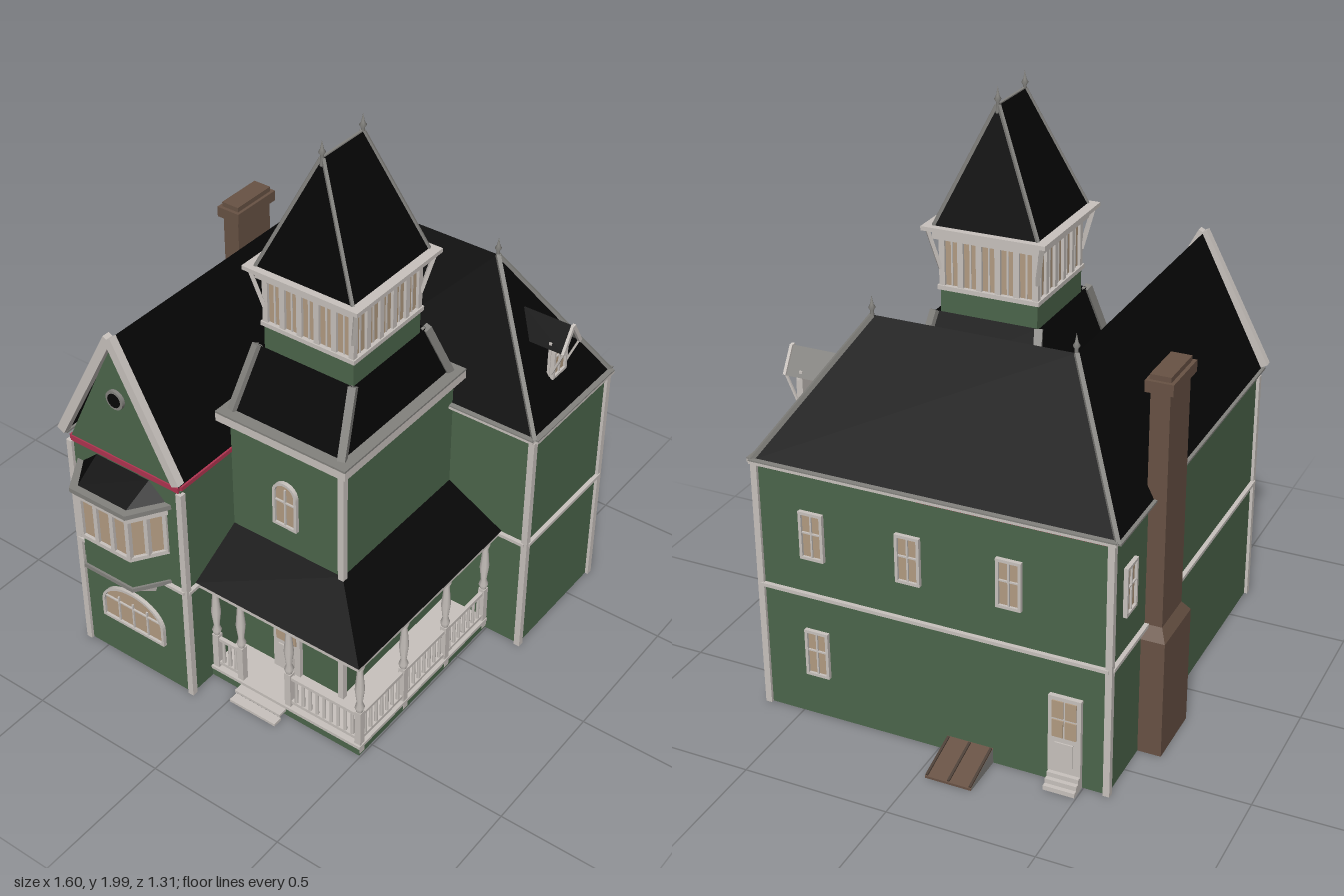
import * as THREE from 'three';

const mat = (name, color) => new THREE.MeshStandardMaterial({ name, color, side: THREE.DoubleSide });

export function createModel() {
  const root = new THREE.Group();
  root.name = 'house';
  const green = mat('green siding', 0x4c664b), black = mat('black roofing', 0x050505),
    white = mat('pale trim', 0xc8c2bd), grey = mat('grey trim', 0x83827e),
    pane = mat('tan glass', 0xb39c82), pink = mat('pink interior', 0xb03450),
    brick = mat('brown brick', 0x685244), floor = mat('dark floor', 0x4c3f36);

  // ---- helpers ----
  const add = (name, geo, m, parent = root) => {
    const mesh = new THREE.Mesh(geo, m);
    mesh.name = name;
    parent.add(mesh);
    return mesh;
  };
  const box = (name, m, x0, x1, y0, y1, z0, z1, parent = root) =>
    add(name, new THREE.BoxGeometry(x1 - x0, y1 - y0, z1 - z0)
      .translate((x0 + x1) / 2, (y0 + y1) / 2, (z0 + z1) / 2), m, parent);
  // flat convex polygons, each a list of [x, y, z] corners
  const faces = (name, m, polys) => {
    const p = [];
    for (const q of polys) for (let i = 1; i < q.length - 1; i++) p.push(...q[0], ...q[i], ...q[i + 1]);
    const g = new THREE.BufferGeometry();
    g.setAttribute('position', new THREE.Float32BufferAttribute(p, 3));
    g.computeVertexNormals();
    return add(name, g, m);
  };
  // upright walls along a plan line of [x, z]
  const walls = (name, m, line, y0, y1) => faces(name, m, line.slice(1).map(([x, z], i) => {
    const [a, b] = line[i];
    return [[a, y0, b], [x, y0, z], [x, y1, z], [a, y1, b]];
  }));
  const prism = (name, m, plan, y0, y1) => {
    const s = new THREE.Shape(plan.map(([x, z]) => new THREE.Vector2(x, -z)));
    return add(name, new THREE.ExtrudeGeometry(s, { depth: y1 - y0, bevelEnabled: false })
      .rotateX(-Math.PI / 2).translate(0, y0, 0), m);
  };
  const bar = (name, m, a, b, w = 0.016, h = w) => {
    const A = new THREE.Vector3(...a), B = new THREE.Vector3(...b);
    const mesh = add(name, new THREE.BoxGeometry(w, h, A.distanceTo(B)), m);
    mesh.position.copy(A).lerp(B, 0.5);
    mesh.lookAt(B);
    return mesh;
  };
  const corners = ([x0, x1, z0, z1], y) => [[x0, y, z1], [x1, y, z1], [x1, y, z0], [x0, y, z0]];
  // four sloping sides between two rectangles, with optional hip trim
  const hip = (name, m, r0, y0, r1, y1, trim) => {
    const a = corners(r0, y0), b = corners(r1, y1);
    faces(name, m, [0, 1, 2, 3].map(i => [a[i], a[(i + 1) % 4], b[(i + 1) % 4], b[i]]));
    if (trim) a.forEach((p, i) => bar('hipTrim', grey, p, b[i], trim));
  };
  const lathe = (name, m, pts, x, y, z) =>
    add(name, new THREE.LatheGeometry(pts.map(p => new THREE.Vector2(...p)), 8), m).position.set(x, y, z);
  const finial = (x, y, z) => lathe('finial', grey,
    [[0.008, -0.02], [0.006, 0.015], [0.012, 0.025], [0.006, 0.035], [0, 0.065]], x, y, z);
  // window facing +z, its sill centre at the given point, turned by angle; rise is the arch height
  const windowAt = (x, y, z, turn, w, h, rise = 0, lights = 2) => {
    const g = new THREE.Group();
    g.name = 'window';
    const outline = (e, cls) => {
      const s = new cls(), r = w / 2 + e, top = rise ? h - rise : h + e;
      s.moveTo(-r, -e).lineTo(r, -e).lineTo(r, top);
      if (rise) s.absellipse(0, top, r, rise + e, 0, Math.PI, false); else s.lineTo(-r, top);
      s.lineTo(-r, -e);
      return s;
    };
    const frame = outline(0.01, THREE.Shape);
    frame.holes.push(outline(0, THREE.Path));
    add('frame', new THREE.ExtrudeGeometry(frame, { depth: 0.014, bevelEnabled: false }), white, g);
    add('pane', new THREE.ShapeGeometry(outline(0, THREE.Shape)).translate(0, 0, 0.005), pane, g);
    for (let i = 1; i < lights; i++) {
      const c = -w / 2 + w * i / lights;
      box('mullion', white, c - 0.003, c + 0.003, 0, h - rise / 2, 0.005, 0.011, g);
    }
    box('crossbar', white, -w / 2, w / 2, h * 0.55, h * 0.55 + 0.005, 0.005, 0.011, g);
    g.position.set(x, y, z);
    g.rotation.y = turn;
    root.add(g);
  };
  const E = Math.PI / 2, W = -E;

  // ---- house body ----
  walls('mainWalls', green, [[0.18, -0.12], [0.18, 0.63], [0.64, 0.63], [0.64, -0.58], [-0.67, -0.58], [-0.67, -0.12], [0.18, -0.12]], 0.01, 0.89);
  walls('towerWalls', green, [[-0.42, -0.12], [-0.42, 0.32], [0.18, 0.32], [0.18, -0.12]], 0.01, 1.02);
  for (const [x0, z0, z1, top] of [[-0.66, -0.57, -0.125, 0.885], [-0.41, -0.1, 0.31, 0.905]]) {
    box('interiorWalls', pink, x0, 0.186, 0.02, top, z0, z1);
    box('floor', floor, x0 + 0.008, 0.178, 0.014, 0.022, z0 + 0.006, z1 - 0.006);
  }
  // exposed wall heads under the eaves
  box('wallHead', pink, -0.67, 0.16, 0.876, 0.898, -0.584, -0.57);
  box('wallHead', pink, -0.675, -0.665, 0.88, 0.9, -0.575, -0.125);
  box('wallHead', pink, -0.665, -0.42, 0.888, 0.903, -0.13, -0.117);
  box('wallHead', pink, 0.178, 0.186, 0.88, 0.905, -0.32, -0.15);
  // corner boards
  for (const [x, z, y1] of [[0.64, 0.63, 0.9], [0.18, 0.63, 0.9], [0.64, -0.58, 0.9], [-0.67, -0.58, 0.88], [-0.67, -0.12, 0.88], [-0.42, 0.32, 1.02]])
    box('cornerBoard', white, x - 0.011, x + 0.011, 0.01, y1, z - 0.011, z + 0.011);
  // belt course between storeys
  const belt = [[0.18, 0.33], [0.18, 0.63], [0.64, 0.63], [0.64, -0.58], [-0.67, -0.58], [-0.67, -0.12], [-0.42, -0.12]];
  belt.slice(1).forEach(([x, z], i) => bar('beltCourse', white, [belt[i][0], 0.467, belt[i][1]], [x, 0.467, z], 0.03, 0.012));

  // ---- main roof ----
  const e = 0.91, t = 1.37, front = [0.41, t, 0.32], back = [0.41, t, -0.36], gable = [-0.68, t, -0.36];
  const fl = [0.17, e, 0.64], fr = [0.65, e, 0.64], br = [0.65, e, -0.6], bl = [-0.68, e, -0.594],
    gl = [-0.68, e, -0.118], valley = [0.17, e, -0.118];
  faces('mainRoof', black, [[fl, fr, front], [fr, br, back, front], [br, bl, gable, back],
    [gl, valley, back, gable], [valley, fl, front, back]]);
  for (const [a, b] of [[fl, front], [fr, front], [br, back]]) bar('hipTrim', grey, a, b, 0.014);
  // eave boards, with darker gutters on top
  for (const [a, b] of [[valley, fl], [fl, fr], [fr, br]]) {
    bar('eaveBoard', white, a, b, 0.026, 0.01);
    bar('gutter', grey, [a[0], e + 0.007, a[2]], [b[0], e + 0.007, b[2]], 0.026, 0.005);
  }
  bar('backGutter', grey, br, bl, 0.02, 0.007);
  finial(0.41, 1.37, 0.32);
  finial(0.41, 1.37, -0.36);
  // left gable end
  faces('gableWall', green, [[[-0.67, 0.89, -0.58], [-0.67, 0.89, -0.13], [-0.67, 1.35, -0.36]]]);
  for (const z of [-0.6, -0.12]) bar('bargeboard', white, [-0.678, 0.92, z], [-0.678, 1.375, -0.36], 0.028, 0.032);
  add('gableVent', new THREE.CylinderGeometry(0.035, 0.035, 0.014, 16).rotateZ(E), grey).position.set(-0.675, 1.14, -0.36);
  add('gableVentLouvre', new THREE.CylinderGeometry(0.025, 0.025, 0.018, 16).rotateZ(E), black).position.set(-0.676, 1.14, -0.36);

  // ---- front dormer ----
  box('dormerFace', white, 0.365, 0.455, 1.0, 1.15, 0.555, 0.565);
  windowAt(0.41, 1.02, 0.565, 0, 0.064, 0.125, 0.032);
  const ridge = z => [0.41, 1.215, z];
  for (const s of [-1, 1]) {
    const eave = z => [0.41 + s * 0.052, 1.13, z];
    faces('dormerRoof', s < 0 ? black : grey, [[eave(0.615), eave(0.43), ridge(0.43), ridge(0.615)]]);
    bar('dormerBargeboard', white, eave(0.613), ridge(0.613), 0.01, 0.014);
    bar('dormerBracket', white, [0.41 + s * 0.043, 1.03, 0.57], [0.41 + s * 0.046, 1.13, 0.612], 0.007);
  }
  faces('dormerGable', white, [[[0.365, 1.14, 0.566], [0.455, 1.14, 0.566], [0.41, 1.21, 0.566]]]);

  // ---- tower ----
  box('towerCornice', white, -0.45, 0.205, 1.015, 1.045, -0.155, 0.35);
  box('towerGutter', grey, -0.45, 0.205, 1.045, 1.052, -0.155, 0.35);
  hip('towerSkirtRoof', black, [-0.41, 0.165, -0.115, 0.31], 1.05, [-0.315, 0.07, -0.085, 0.28], 1.26, 0.026);
  box('belvedereBase', green, -0.297, 0.053, 1.24, 1.335, -0.072, 0.268);
  box('belvedereGlass', pane, -0.29, 0.046, 1.335, 1.51, -0.065, 0.261);
  box('belvedereSill', white, -0.305, 0.061, 1.33, 1.345, -0.08, 0.276);
  box('belvedereHead', white, -0.315, 0.071, 1.505, 1.54, -0.09, 0.286);
  box('belvedereCornice', white, -0.342, 0.098, 1.538, 1.552, -0.117, 0.313);
  const post = (x, z, r) => box('belvedereMullion', white, x - r, x + r, 1.34, 1.515, z - r, z + r);
  for (let i = 0; i <= 10; i++) for (const z of [-0.065, 0.261]) post(-0.29 + 0.0336 * i, z, i % 2 ? 0.003 : 0.01);
  for (let i = 1; i < 10; i++) for (const x of [-0.29, 0.046]) post(x, -0.065 + 0.0326 * i, i % 2 ? 0.003 : 0.01);
  for (const [x, s] of [[-0.29, -1], [0.046, 1]]) for (const [z, u] of [[-0.065, -1], [0.261, 1]])
    bar('cornerBracket', white, [x + s * 0.006, 1.4, z + u * 0.006], [x + s * 0.036, 1.54, z + u * 0.036], 0.012);
  hip('towerRoof', black, [-0.318, 0.074, -0.083, 0.279], 1.552, [-0.222, -0.024, 0.094, 0.102], 1.94, 0.01);
  bar('towerRidge', grey, [-0.225, 1.94, 0.098], [-0.021, 1.94, 0.098], 0.008);
  for (const x of [-0.222, -0.024]) finial(x, 1.935, 0.098);

  // ---- wrap porch ----
  box('porchDeck', white, -0.57, 0.18, 0.045, 0.057, 0.32, 0.5);
  box('porchDeckSide', white, -0.57, -0.42, 0.045, 0.057, -0.12, 0.32);
  walls('porchSkirt', green, [[-0.565, -0.12], [-0.565, 0.495], [0.18, 0.495]], 0.012, 0.055);
  const lo = 0.475, hi = 0.59;
  faces('porchRoof', black, [
    [[-0.625, lo, 0.535], [0.18, lo, 0.535], [0.18, hi, 0.32], [-0.42, hi, 0.32]],
    [[-0.625, lo, -0.12], [-0.625, lo, 0.535], [-0.42, hi, 0.32], [-0.42, hi, -0.12]]]);
  faces('porchCeiling', grey, [
    [[-0.62, 0.468, 0.53], [0.18, 0.468, 0.53], [0.18, 0.468, 0.32], [-0.62, 0.468, 0.32]],
    [[-0.62, 0.468, 0.32], [-0.42, 0.468, 0.32], [-0.42, 0.468, -0.12], [-0.62, 0.468, -0.12]]]);
  bar('porchFascia', white, [-0.62, 0.467, 0.526], [0.18, 0.467, 0.526], 0.012, 0.014);
  bar('porchFascia', white, [-0.617, 0.467, -0.12], [-0.617, 0.467, 0.53], 0.012, 0.014);
  const porchPost = (x, z) => {
    box('postBase', white, x - 0.012, x + 0.012, 0.02, 0.2, z - 0.012, z + 0.012);
    lathe('turnedPost', white, [[0.011, 0.2], [0.017, 0.22], [0.01, 0.24], [0.017, 0.3], [0.01, 0.38], [0.017, 0.4], [0.01, 0.42], [0.019, 0.465]], x, 0, z);
  };
  const rail = (x0, z0, x1, z1) => {
    for (const y of [0.075, 0.182]) bar('rail', white, [x0, y, z0], [x1, y, z1], 0.014, 0.012);
    const n = Math.round(Math.hypot(x1 - x0, z1 - z0) / 0.03);
    for (let i = 1; i < n; i++)
      add('baluster', new THREE.CylinderGeometry(0.006, 0.007, 0.1, 6), white)
        .position.set(x0 + (x1 - x0) * i / n, 0.128, z0 + (z1 - z0) * i / n);
  };
  const px = [-0.55, -0.308, -0.066, 0.167];
  px.forEach((x, i) => { porchPost(x, 0.485); if (i) rail(px[i - 1], 0.485, x, 0.485); });
  for (const z of [0.2, 0, -0.105]) porchPost(-0.55, z);
  rail(-0.55, 0.2, -0.55, 0.485);
  rail(-0.55, -0.105, -0.55, 0);
  for (let i = 0; i < 2; i++) box('porchStep', white, -0.6 - 0.028 * i, -0.565 - 0.028 * i, 0.03 - 0.02 * i, 0.04 - 0.02 * i, 0.005, 0.195);
  // glazed door on a side wall
  const door = (x, z, y0, s, w) => {
    const X = (a, b) => s > 0 ? [x + a, x + b] : [x - b, x - a];
    box('doorFrame', white, ...X(0, 0.016), y0, y0 + 0.28, z - w / 2, z + w / 2);
    for (const k of [-1, 1]) for (const y of [0.135, 0.205])
      box('doorGlass', pane, ...X(0.014, 0.02), y0 + y, y0 + y + 0.062, z + k * w * 0.2 - w * 0.17, z + k * w * 0.2 + w * 0.17);
    box('doorPanel', white, ...X(0.014, 0.021), y0 + 0.03, y0 + 0.115, z - w * 0.28, z + w * 0.28);
  };
  door(-0.42, 0.1, 0.057, -1, 0.11);
  door(0.64, -0.44, 0.055, 1, 0.11);
  for (let i = 0; i < 3; i++) box('sideStep', white, 0.64, 0.7 - 0.015 * i, 0.01 + 0.016 * i, 0.026 + 0.016 * i, -0.495, -0.388);

  // ---- windows ----
  for (const x of [-0.197, 0.053]) windowAt(x, 0.2, 0.32, 0, 0.075, 0.155, 0.0375);
  box('curtainGap', black, 0.045, 0.061, 0.203, 0.28, 0.325, 0.332);
  for (const z of [0.433, 0.093, -0.25]) windowAt(0.64, 0.61, z, E, 0.065, 0.15);
  windowAt(0.64, 0.175, 0.433, E, 0.065, 0.15);
  windowAt(0.505, 0.61, -0.58, Math.PI, 0.065, 0.15);
  windowAt(-0.42, 0.7, 0.1, W, 0.075, 0.16, 0.0375);
  windowAt(-0.67, 0.18, -0.36, W, 0.25, 0.145, 0.085, 4);

  // ---- left bay ----
  const bay = o => [[-0.67, -0.53 - o], [-0.77 - o, -0.46 - o * 0.6], [-0.77 - o, -0.26 + o * 0.6], [-0.67, -0.19 + o]];
  prism('bayBase', green, bay(0), 0.48, 0.6);
  prism('bayBottom', grey, bay(0.008), 0.47, 0.485);
  prism('baySill', white, bay(0.008), 0.6, 0.615);
  prism('bayGlass', pane, bay(-0.003), 0.615, 0.77);
  prism('bayCornice', white, bay(0.012), 0.765, 0.795);
  prism('bayEave', grey, bay(0.028), 0.795, 0.812);
  const [b0, b1, b2, b3] = bay(0.003).map(([x, z]) => [x, 0.813, z]);
  const r0 = [-0.67, 0.87, -0.47], r1 = [-0.67, 0.87, -0.25];
  faces('bayRoof', black, [[b0, b1, r0], [b1, b2, r1, r0], [b2, b3, r1]]);
  const bayPosts = [...bay(0), ...[0.33, 0.67].map(k => [-0.77, -0.46 + 0.2 * k]),
    [-0.72, -0.495], [-0.72, -0.225]];
  for (const [x, z] of bayPosts) box('bayMullion', white, x - 0.008, x + 0.008, 0.61, 0.77, z - 0.008, z + 0.008);
  for (const z of [-0.46, -0.26]) bar('bayBracket', white, [-0.67, 0.41, z], [-0.755, 0.475, z], 0.018);

  // ---- chimney ----
  box('chimneyBase', brick, 0.16, 0.39, 0.01, 0.43, -0.66, -0.575);
  hip('chimneyShoulder', brick, [0.16, 0.39, -0.66, -0.575], 0.43, [0.19, 0.36, -0.638, -0.575], 0.47);
  box('chimneyShaft', brick, 0.19, 0.36, 0.43, 1.28, -0.638, -0.575);
  box('chimneyCap', brick, 0.176, 0.374, 1.27, 1.308, -0.652, -0.561);
  box('chimneyTop', brick, 0.188, 0.362, 1.3, 1.325, -0.64, -0.572);

  // ---- cellar hatch ----
  const hz0 = -0.19, hz1 = -0.03;
  faces('hatchSides', grey, [hz0, hz1].map(z => [[0.64, 0.01, z], [0.8, 0.01, z], [0.8, 0.018, z], [0.64, 0.065, z]]));
  faces('hatchLid', brick, [[[0.64, 0.065, hz0], [0.64, 0.065, hz1], [0.8, 0.018, hz1], [0.8, 0.018, hz0]],
    [[0.8, 0.018, hz0], [0.8, 0.018, hz1], [0.8, 0.01, hz1], [0.8, 0.01, hz0]]]);
  for (const z of [hz0 + 0.005, -0.11, hz1 - 0.005]) bar('hatchBatten', floor, [0.645, 0.065, z], [0.797, 0.02, z], 0.008);
  return root;
}
